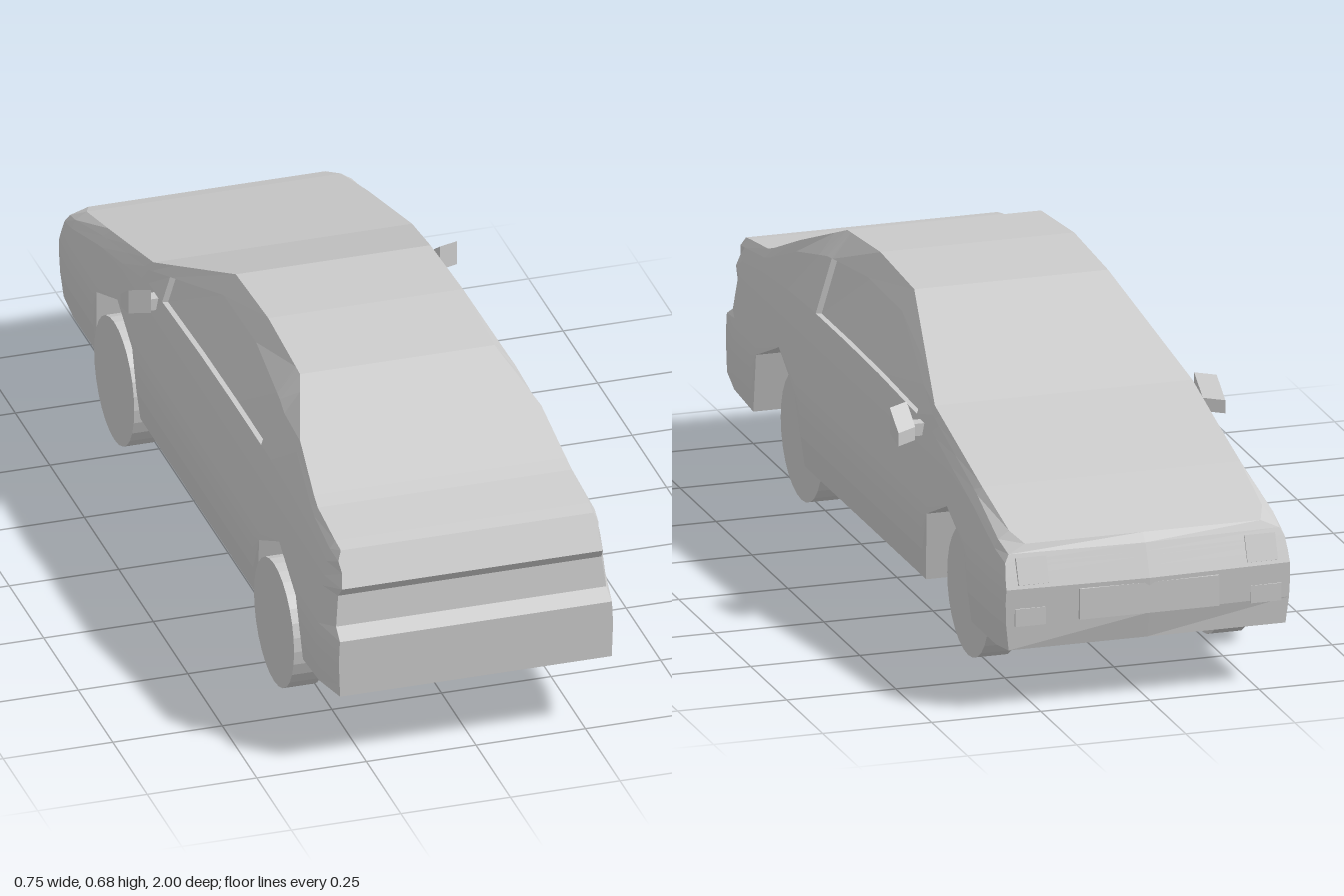
import * as THREE from 'three';

const mat = new THREE.MeshStandardMaterial({ color: 0xcccccc, flatShading: true });
const thinMat = new THREE.MeshStandardMaterial({ color: 0xcccccc, flatShading: true, side: THREE.DoubleSide });

// Piecewise linear lookup: rows are [key, value, value...] with rising keys
function lerpRow(rows, k) {
  if (k <= rows[0][0]) return rows[0].slice(1);
  for (let i = 1; i < rows.length; i++) {
    if (k <= rows[i][0]) {
      const a = rows[i - 1], b = rows[i], t = (k - a[0]) / (b[0] - a[0]);
      return a.slice(1).map((v, j) => v + (b[j + 1] - v) * t);
    }
  }
  return rows[rows.length - 1].slice(1);
}

// Body side: half width by height
const SIDE = [[0.13, 0.32], [0.17, 0.328], [0.25, 0.331], [0.3, 0.329], [0.42, 0.315], [0.5, 0.3]];
// By z: floor y, width factor, belt y, frame x, frame y, roof edge x, roof edge y
const BODY = [
  [-1, 0.14, 0.985, 0.335, 0.31, 0.352, 0.27, 0.37],
  [-0.9, 0.13, 1, 0.35, 0.315, 0.37, 0.29, 0.387],
  [-0.72, 0.13, 1, 0.4, 0.306, 0.42, 0.295, 0.437],
  [-0.4, 0.13, 1, 0.47, 0.3, 0.5, 0.295, 0.52],
  [-0.035, 0.13, 1, 0.482, 0.25, 0.62, 0.222, 0.667],
  [0.2, 0.13, 1, 0.485, 0.25, 0.625, 0.222, 0.68],
  [0.43, 0.13, 1, 0.485, 0.268, 0.605, 0.222, 0.66],
  [0.6, 0.14, 1, 0.48, 0.283, 0.565, 0.275, 0.59],
  [0.765, 0.148, 1, 0.47, 0.298, 0.5, 0.29, 0.52],
  [0.93, 0.165, 1, 0.45, 0.303, 0.48, 0.29, 0.498],
  [1, 0.17, 0.945, 0.45, 0.297, 0.475, 0.288, 0.495],
];
// Wheel arch height by z
const ARCH = [[-0.73, 0], [-0.705, 0.295], [-0.57, 0.345], [-0.445, 0.29], [-0.415, 0],
  [0.43, 0], [0.475, 0.29], [0.6, 0.35], [0.74, 0.29], [0.775, 0]];
// End faces: z by height
const TAIL = [[0.305, 1], [0.325, 0.965], [0.395, 0.955], [0.42, 0.975], [0.495, 0.935]];
const NOSE = [[0.14, -0.98], [0.28, -0.988], [0.37, -0.95]];
const LEVELS = [0.2, 0.25, 0.28, 0.305, 0.325, 0.395, 0.42];

// Half cross-section from floor centre to roof centre; d recesses the side glass
function halfSection(z, d) {
  const [floor, w, by, fx, fy, ex, ey] = lerpRow(BODY, z);
  const arch = Math.max(floor, lerpRow(ARCH, z)[0]);
  const side = (y) => lerpRow(SIDE, y)[0] * w;
  const pts = [[0, floor], [0.21, floor], [0.21, arch], [side(arch), arch]];
  for (const l of LEVELS) {
    const y = Math.min(Math.max(l, arch), by);
    pts.push([side(y), y]);
  }
  pts.push([side(by), by], [side(by) - d, by], [fx - d, fy], [fx, fy], [ex, ey], [0, ey]);
  return pts.map(([x, y]) => {
    const pz = z === 1 ? lerpRow(TAIL, y)[0] : z === -1 ? lerpRow(NOSE, y)[0] : z;
    return [x, y, pz];
  });
}

function bodyGeometry() {
  const stations = [[1, 0], [0.9, 0], [0.775, 0], [0.74, 0], [0.6, 0], [0.475, 0], [0.43, 0],
    [0.405, 0], [0.4, 0.012], [0.2, 0.012], [-0.035, 0.012], [-0.3, 0.012], [-0.305, 0],
    [-0.4, 0], [-0.415, 0], [-0.445, 0], [-0.57, 0], [-0.705, 0], [-0.73, 0], [-0.9, 0], [-1, 0]];
  const halves = stations.map(([z, d]) => halfSection(z, d));
  const rings = halves.map((h) => [...h, ...h.slice(1, -1).reverse().map(([x, y, z]) => [-x, y, z])]);
  const pos = [];
  const quad = (a, b, c, d) => pos.push(...a, ...b, ...c, ...a, ...c, ...d);
  const n = rings[0].length;
  for (let i = 0; i + 1 < rings.length; i++) {
    for (let j = 0; j < n; j++) {
      const k = (j + 1) % n;
      quad(rings[i][j], rings[i + 1][j], rings[i + 1][k], rings[i][k]);
    }
  }
  // End faces, the nose swelling slightly at the middle
  const cap = (half, bulge) => {
    const rows = half.slice(3, -1);
    const point = (r, t) => {
      const [x, y, z] = rows[r];
      const inner = r > 0 && r < rows.length - 1;
      return [x * t, y, z - (inner ? bulge * (1 - Math.abs(t)) : 0)];
    };
    for (let r = 0; r + 1 < rows.length; r++) {
      for (const t of [-1, 0]) {
        const q = [point(r, t), point(r, t + 1), point(r + 1, t + 1), point(r + 1, t)];
        quad(...(bulge ? q.reverse() : q));
      }
    }
  };
  cap(halves[0], 0);
  cap(halves[halves.length - 1], 0.012);
  const g = new THREE.BufferGeometry();
  g.setAttribute('position', new THREE.Float32BufferAttribute(pos, 3));
  g.computeVertexNormals();
  return g;
}

// Thin four-cornered panel
function panel(a, b, c, d) {
  const g = new THREE.BufferGeometry();
  g.setAttribute('position', new THREE.Float32BufferAttribute([...a, ...b, ...c, ...a, ...c, ...d], 3));
  g.computeVertexNormals();
  return g;
}

// Mirror housing: a tapered box swept back at its outer end
function mirrorGeometry() {
  const g = new THREE.BoxGeometry(0.045, 0.07, 0.06);
  const p = g.attributes.position;
  for (let i = 0; i < p.count; i++) {
    const out = p.getX(i) > 0, up = p.getY(i) > 0, fore = p.getZ(i) < 0;
    if (fore && up) p.setY(i, -0.005);
    if (!fore && !up) p.setY(i, -0.022);
    if (out) {
      p.setZ(i, p.getZ(i) - 0.02);
      p.setY(i, p.getY(i) - 0.004);
    }
  }
  g.computeVertexNormals();
  return g;
}

export function createModel() {
  const model = new THREE.Group();
  const add = (name, geo, x = 0, y = 0, z = 0, m = mat) => {
    const mesh = new THREE.Mesh(geo, m);
    mesh.name = name;
    mesh.position.set(x, y, z);
    model.add(mesh);
    return mesh;
  };

  add('body', bodyGeometry());

  // Windscreen
  add('windscreen', panel([-0.205, 0.66, -0.065], [-0.27, 0.534, -0.375],
    [0.27, 0.534, -0.375], [0.205, 0.66, -0.065]), 0, 0, 0, thinMat);

  // Wheels
  const wheel = new THREE.CylinderGeometry(0.145, 0.145, 0.07, 28).rotateZ(Math.PI / 2);
  for (const [axle, z] of [['front', -0.57], ['rear', 0.588]]) {
    add(axle + 'RightWheel', wheel, -0.296, 0.145, z);
    add(axle + 'LeftWheel', wheel, 0.24, 0.145, z);
  }

  // Door mirrors and front lamps on both sides
  const housing = mirrorGeometry();
  for (const s of [1, -1]) {
    const mirror = add('mirrorHousing', housing, s * 0.352, 0.47, -0.338);
    mirror.scale.x = s;
    add('mirrorStalk', new THREE.BoxGeometry(0.05, 0.028, 0.03), s * 0.315, 0.455, -0.345);
    const lamp = add('headlight', new THREE.BoxGeometry(0.07, 0.06, 0.012), s * 0.262, 0.315, -0.974);
    lamp.rotation.x = 0.37;
    add('indicator', new THREE.BoxGeometry(0.07, 0.04, 0.01), s * 0.27, 0.215, -0.985);
  }

  // Front grille
  add('grille', new THREE.BoxGeometry(0.32, 0.07, 0.01), 0, 0.235, -0.994);
  return model;
}
